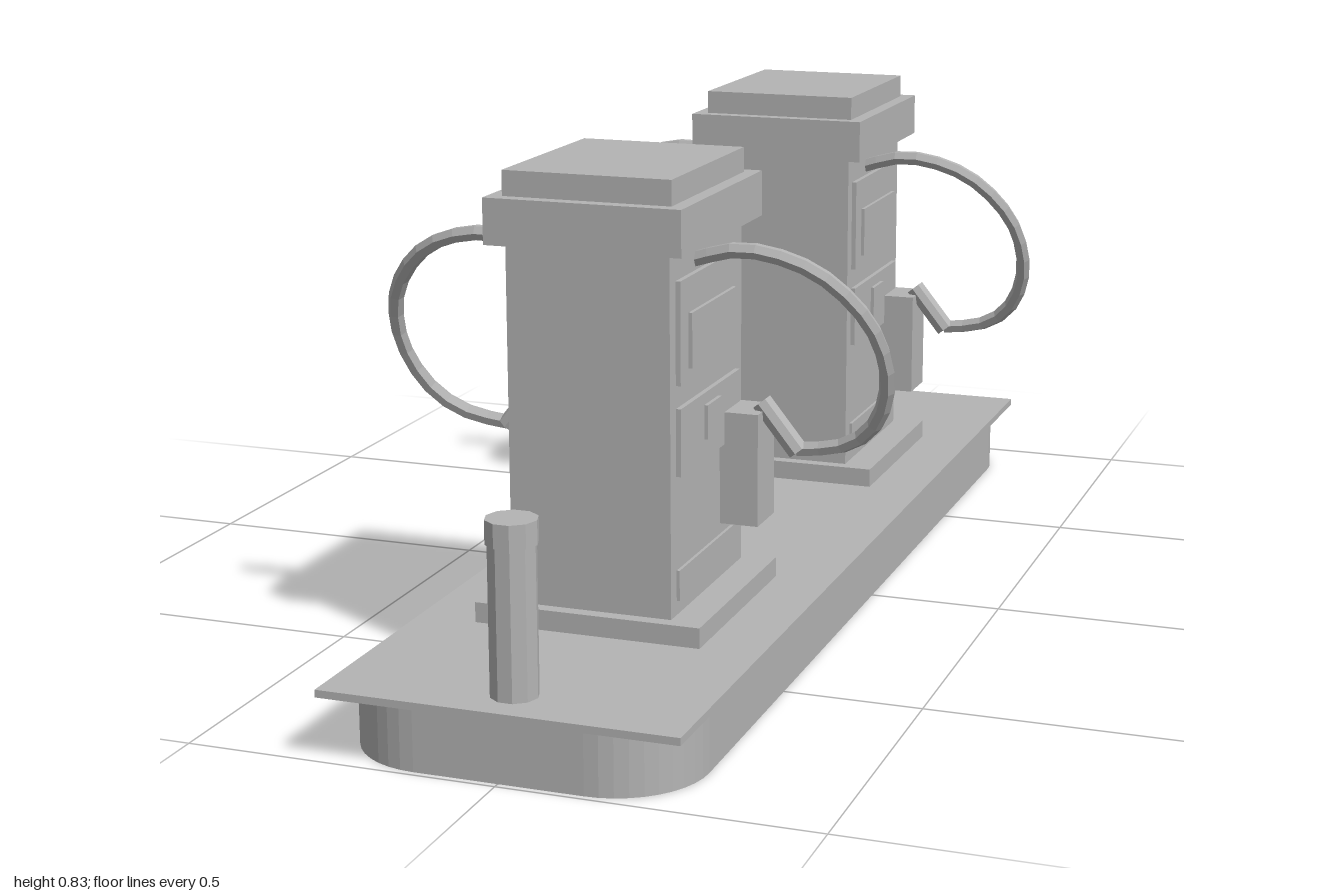
import * as THREE from 'three';

const grey = new THREE.MeshStandardMaterial({ color: 0xb4b4b4, flatShading: true });
grey.name = 'plain grey';

function add(parent, name, geometry, x = 0, y = 0, z = 0) {
  const mesh = new THREE.Mesh(geometry, grey);
  mesh.name = name;
  mesh.position.set(x, y, z);
  parent.add(mesh);
  return mesh;
}

// Box given by its lower and upper limits on each axis
function box(parent, name, [x0, x1], [y0, y1], [z0, z1]) {
  const g = new THREE.BoxGeometry(x1 - x0, y1 - y0, z1 - z0);
  return add(parent, name, g, (x0 + x1) / 2, (y0 + y1) / 2, (z0 + z1) / 2);
}

// Rounded slab, extruded upwards
function slab(w, l, r, h) {
  const s = new THREE.Shape();
  s.absarc(w - r, l - r, r, 0, Math.PI / 2);
  s.absarc(-w + r, l - r, r, Math.PI / 2, Math.PI);
  s.absarc(-w + r, -l + r, r, Math.PI, Math.PI * 1.5);
  s.absarc(w - r, -l + r, r, Math.PI * 1.5, Math.PI * 2);
  const g = new THREE.ExtrudeGeometry(s, { depth: h, bevelEnabled: false, curveSegments: 5 });
  return g.rotateX(-Math.PI / 2);
}

// Hose loop lies in a plane that tilts backwards as it drops
function hose(side) {
  const path = [
    [0.12, 0.685], [0.2, 0.708], [0.26, 0.703], [0.32, 0.68], [0.367, 0.64], [0.402, 0.585],
    [0.415, 0.515], [0.403, 0.452], [0.37, 0.4], [0.32, 0.37], [0.25, 0.358],
  ].map(([x, y]) => new THREE.Vector3(side * x, y, 0.05 - (0.7 - y) * 0.45));
  return new THREE.TubeGeometry(new THREE.CatmullRomCurve3(path), 18, 0.013, 6);
}

function pump() {
  const g = new THREE.Group();
  g.name = 'fuelPump';
  box(g, 'foot', [-0.187, 0.187], [0.112, 0.145], [-0.187, 0.187]);
  box(g, 'body', [-0.133, 0.133], [0.145, 0.717], [-0.165, 0.165]);
  box(g, 'cap', [-0.16, 0.16], [0.717, 0.79], [-0.187, 0.187]);
  box(g, 'capTop', [-0.137, 0.137], [0.79, 0.83], [-0.165, 0.165]);

  for (const side of [-1, 1]) {
    // Plates and fittings on each serving side
    const out = (d) => (side > 0 ? [0.125, d] : [-d, -0.125]);
    box(g, 'displayPanel', out(0.141), [0.51, 0.672], [-0.135, 0.14]);
    box(g, 'displayScreen', out(0.147), [0.53, 0.617], [-0.1, 0.105]);
    box(g, 'controlPanel', out(0.141), [0.367, 0.474], [-0.135, 0.14]);
    box(g, 'cardReader', out(0.147), [0.4, 0.455], [-0.03, 0.035]);
    box(g, 'lowerPanel', out(0.138), [0.168, 0.217], [-0.135, 0.14]);
    box(g, 'holster', out(0.197), [0.235, 0.42], [-0.143, -0.06]);
    add(g, 'hose', hose(side));

    // Nozzle slanting up into the holster
    const a = new THREE.Vector3(side * 0.252, 0.355, -0.1);
    const b = new THREE.Vector3(side * 0.19, 0.432, -0.1);
    const nozzle = add(g, 'nozzle', new THREE.CylinderGeometry(0.018, 0.018, a.distanceTo(b), 8));
    nozzle.position.copy(a).lerp(b, 0.5);
    nozzle.quaternion.setFromUnitVectors(new THREE.Vector3(0, 1, 0), b.clone().sub(a).normalize());
  }
  return g;
}

export function createModel() {
  const model = new THREE.Group();
  model.name = 'fuelIsland';
  add(model, 'islandBase', slab(0.274, 0.99, 0.14, 0.1));
  box(model, 'islandTop', [-0.285, 0.285], [0.1, 0.112], [-1, 1]);

  for (const side of [-1, 1]) {
    const p = pump();
    p.position.z = side * 0.464;
    model.add(p);

    // Guard post at each end
    const post = new THREE.Group();
    post.name = 'bollard';
    post.position.z = side * 0.923;
    post.rotation.y = Math.PI / 10;
    add(post, 'post', new THREE.CylinderGeometry(0.037, 0.037, 0.235, 10), 0, 0.2285, 0);
    add(post, 'postCap', new THREE.CylinderGeometry(0.04, 0.04, 0.037, 10), 0, 0.3625, 0);
    model.add(post);
  }
  return model;
}
